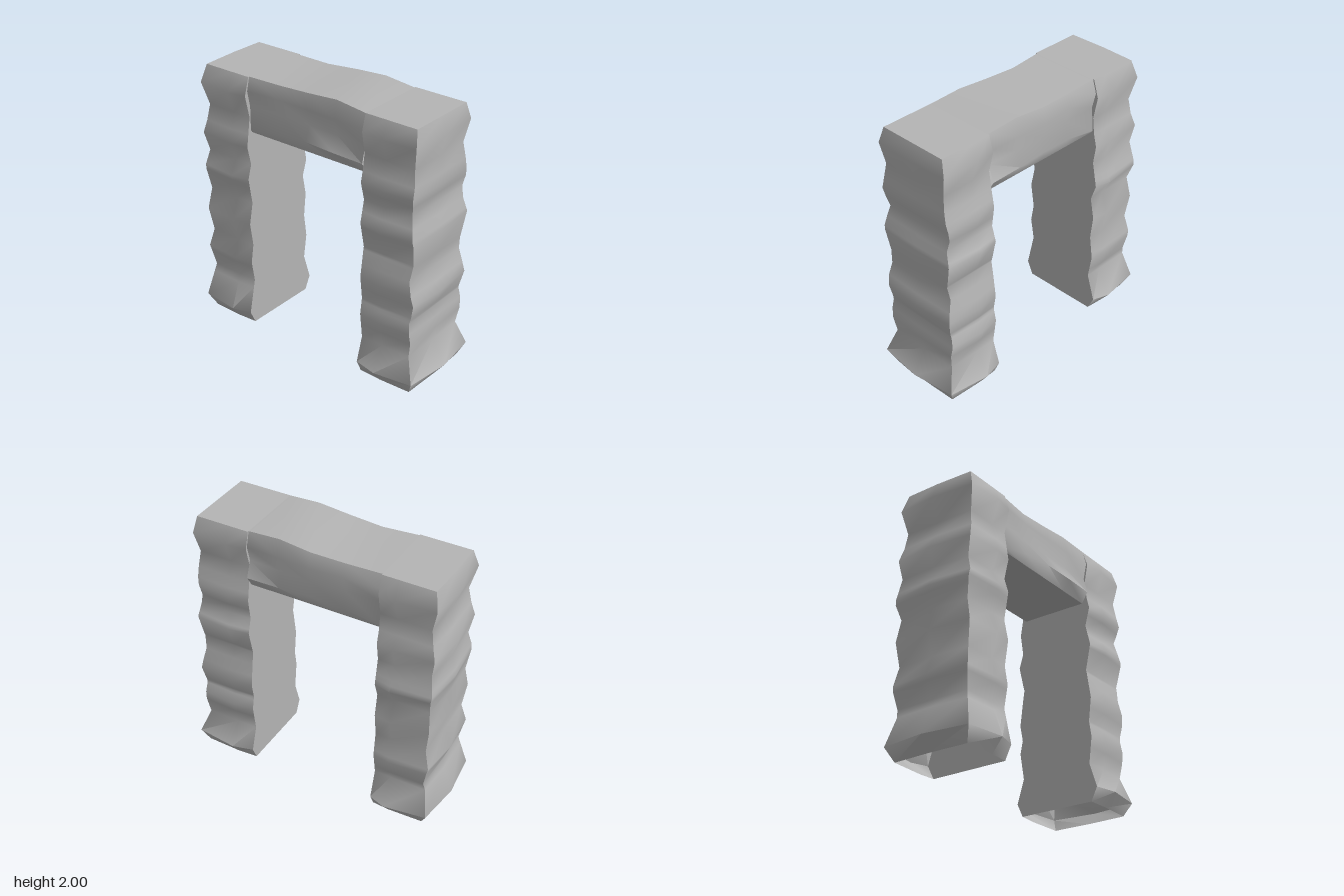
import * as THREE from 'three';
import { toCreasedNormals } from 'three/addons/utils/BufferGeometryUtils.js';

const stone = new THREE.MeshStandardMaterial({ color: 0xb4b4b4, side: THREE.DoubleSide });
stone.name = 'grey stone';

// Piecewise-linear lookup in a list of [position, value]
function at(profile, p) {
  for (let i = 1; i < profile.length; i++) {
    const [p0, v0] = profile[i - 1], [p1, v1] = profile[i];
    if (p <= p1) return v0 + (v1 - v0) * Math.max(0, (p - p0) / (p1 - p0));
  }
  return profile[profile.length - 1][1];
}

// Skin a stack of closed rings, with an optional cap on the last one
function loft(name, rings, cap) {
  const n = rings[0].length, index = [];
  for (let i = 0; i < rings.length - 1; i++) {
    for (let j = 0; j < n; j++) {
      const a = i * n + j, b = i * n + (j + 1) % n;
      index.push(a, b, b + n, a, b + n, a + n);
    }
  }
  const top = (rings.length - 1) * n;
  if (cap) for (let j = 1; j < n - 1; j++) index.push(top, top + j, top + j + 1);
  const geo = new THREE.BufferGeometry();
  geo.setAttribute('position', new THREE.Float32BufferAttribute(rings.flat(2), 3));
  geo.setIndex(index);
  const mesh = new THREE.Mesh(toCreasedNormals(geo, 0.87), stone);
  mesh.name = name;
  return mesh;
}

// Corners bulge less than the middle of each face
const soften = (v, waist) => v - Math.max(0, v - waist) * 0.4;

// A rough pillar: flat inner face, wavy outer, front and back faces, open foot
function pillar(name, side, inner, outer, front, back) {
  const levels = [...new Set([...outer, ...front, ...back].map((e) => e[0]))].sort((a, b) => a - b);
  const rings = levels.map((y) => {
    const x = at(outer, y), f = at(front, y), b = at(back, y);
    const cx = soften(x, 0.89), cf = soften(f, 0.285), cb = soften(b, 0.275);
    const ring = [
      [inner, cf], [0.66, f], [cx, cf], [x, 0], [cx, -cb], [0.64, -b], [inner, -cb],
    ].map(([px, pz]) => [side * px, y, pz]);
    return side > 0 ? ring : ring.reverse();
  });
  return loft(name, rings, true);
}

export function createModel() {
  const arch = new THREE.Group();
  arch.name = 'stoneArch';

  // Right pillar
  arch.add(pillar('rightPillar', -1, 0.515,
    [[0, 0.91], [0.1, 0.995], [0.36, 0.905], [0.52, 0.965], [0.66, 0.91], [0.84, 0.95], [1, 0.925],
      [1.16, 0.965], [1.31, 0.925], [1.45, 0.965], [1.55, 0.92], [1.67, 0.89], [1.84, 0.96], [1.97, 0.91]],
    [[0, 0.305], [0.1, 0.385], [0.36, 0.29], [0.52, 0.335], [0.66, 0.295], [0.84, 0.34], [1, 0.285],
      [1.2, 0.34], [1.31, 0.285], [1.45, 0.34], [1.55, 0.315], [1.67, 0.285], [1.84, 0.35], [1.97, 0.285]],
    [[0, 0.3], [0.1, 0.385], [0.3, 0.28], [0.48, 0.33], [0.66, 0.29], [0.84, 0.325], [1, 0.275],
      [1.12, 0.345], [1.31, 0.285], [1.45, 0.32], [1.55, 0.28], [1.67, 0.265], [1.84, 0.315], [1.97, 0.26]]));

  // Left pillar
  arch.add(pillar('leftPillar', 1, 0.485,
    [[0, 0.91], [0.1, 0.99], [0.28, 0.885], [0.4, 0.915], [0.56, 0.89], [0.7, 0.94], [0.88, 0.88],
      [1.17, 0.925], [1.36, 0.875], [1.5, 0.91], [1.58, 0.905], [1.7, 0.885], [1.86, 0.925], [1.98, 0.89]],
    [[0, 0.305], [0.1, 0.385], [0.28, 0.29], [0.48, 0.33], [0.6, 0.3], [0.78, 0.335], [1, 0.28],
      [1.2, 0.345], [1.36, 0.285], [1.5, 0.345], [1.58, 0.315], [1.7, 0.285], [1.86, 0.335], [1.98, 0.28]],
    [[0, 0.3], [0.1, 0.375], [0.28, 0.28], [0.48, 0.33], [0.58, 0.295], [0.7, 0.33], [0.98, 0.27],
      [1.17, 0.34], [1.28, 0.285], [1.44, 0.32], [1.58, 0.28], [1.7, 0.26], [1.86, 0.315], [1.98, 0.265]]));

  // Lintel: [x, top y, top front z, top back z, ledge y, ledge z]
  const sections = [
    [-0.515, 1.97, 0.275, 0.25, 1.57, 0.275],
    [-0.25, 1.965, 0.255, 0.255, 1.62, 0.285],
    [0, 1.98, 0.26, 0.275, 1.64, 0.3],
    [0.24, 2.0, 0.265, 0.265, 1.635, 0.31],
    [0.485, 1.98, 0.28, 0.255, 1.63, 0.31],
  ];
  arch.add(loft('lintel', sections.map(([x, top, f, b, ledge, lz]) => [
    [x, top, f], [x, 1.87, f + 0.025], [x, 1.75, f], [x, ledge, lz], [x, 1.55, 0.26],
    [x, 1.55, -0.25], [x, ledge, -lz + 0.01], [x, 1.75, -b], [x, 1.87, -b - 0.03], [x, top, -b],
  ]), false));

  return arch;
}
